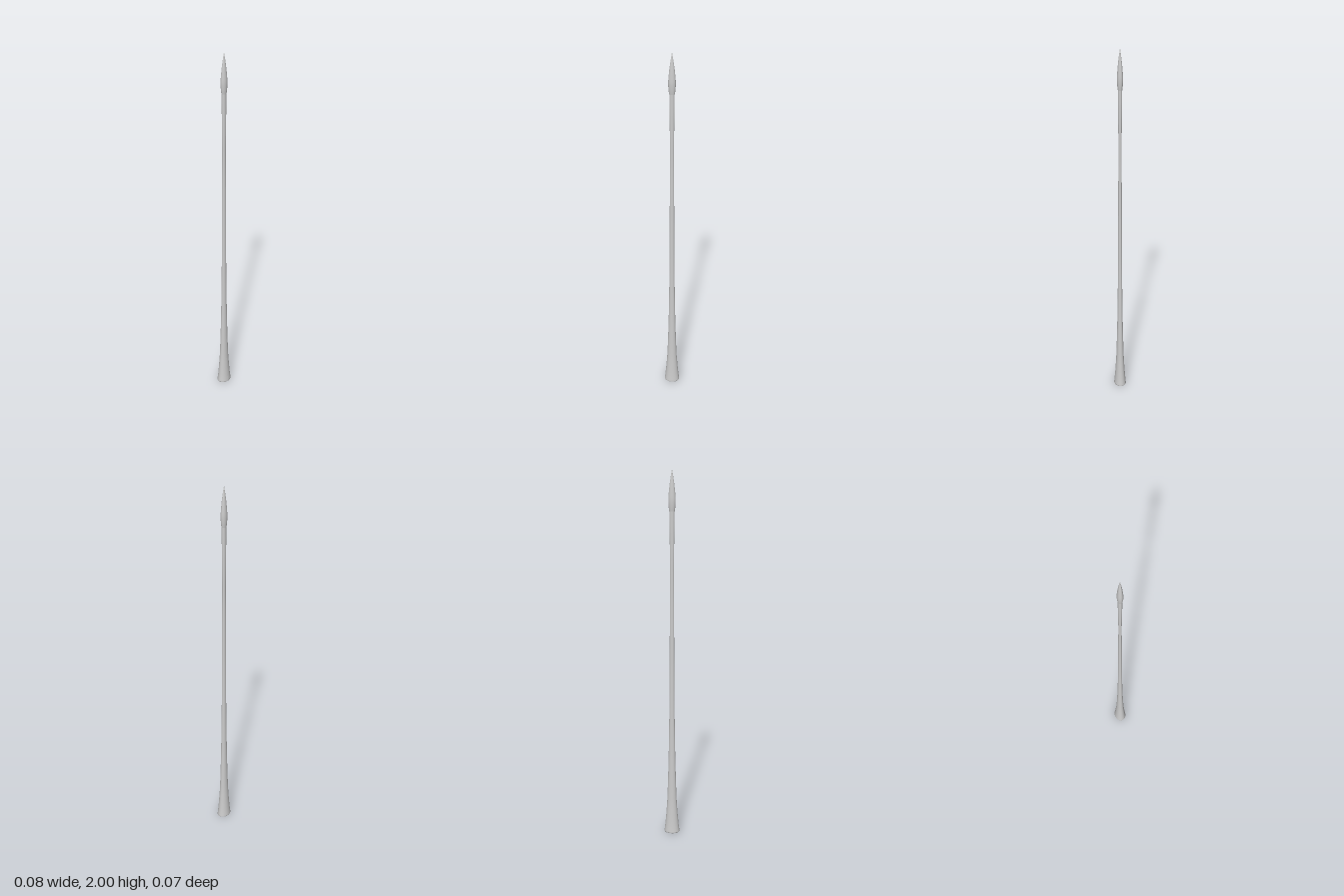
import * as THREE from 'three';

const DEPTH = 0.79; // oval section: depth relative to width

// Turned part with a smooth profile, flattened to an oval section
function turned(name, profile, material) {
  const curve = new THREE.SplineCurve(profile.map(([r, y]) => new THREE.Vector2(r, y)));
  const points = curve.getPoints(profile.length * 5);
  points.forEach((p) => { p.x = Math.max(p.x, 0); });
  const geometry = new THREE.LatheGeometry(points, 40);
  geometry.scale(1, 1, DEPTH);
  geometry.computeVertexNormals();
  const mesh = new THREE.Mesh(geometry, material);
  mesh.name = name;
  return mesh;
}

// Flat oval cap facing down
function cap(name, radius, y, material) {
  const geometry = new THREE.CircleGeometry(radius, 40);
  geometry.rotateX(Math.PI / 2);
  geometry.scale(1, 1, DEPTH);
  geometry.translate(0, y, 0);
  const mesh = new THREE.Mesh(geometry, material);
  mesh.name = name;
  return mesh;
}

export function createModel() {
  const group = new THREE.Group();
  group.name = 'spear';
  const material = new THREE.MeshStandardMaterial({ color: 0xcccccc });

  // Slender shaft: flared foot, narrow waist near the top, slight swell under the head
  group.add(turned('shaft', [
    [0.042, 0.008], [0.037, 0.05], [0.031, 0.12], [0.026, 0.2], [0.021, 0.35],
    [0.0175, 0.5], [0.014, 0.75], [0.0125, 1.0], [0.0115, 1.25], [0.0103, 1.45],
    [0.0115, 1.6], [0.013, 1.72], [0.013, 1.8],
  ], material));

  // Thin rim and sole closing the foot
  group.add(turned('footRim', [[0.04, 0], [0.042, 0.003], [0.042, 0.008]], material));
  group.add(cap('footSole', 0.04, 0, material));

  // Leaf-shaped pointed head
  group.add(turned('head', [
    [0.0145, 1.785], [0.0175, 1.81], [0.019, 1.84], [0.0175, 1.87],
    [0.0125, 1.92], [0.006, 1.965], [0, 2],
  ], material));
  group.add(cap('headBase', 0.0145, 1.785, material));

  return group;
}
